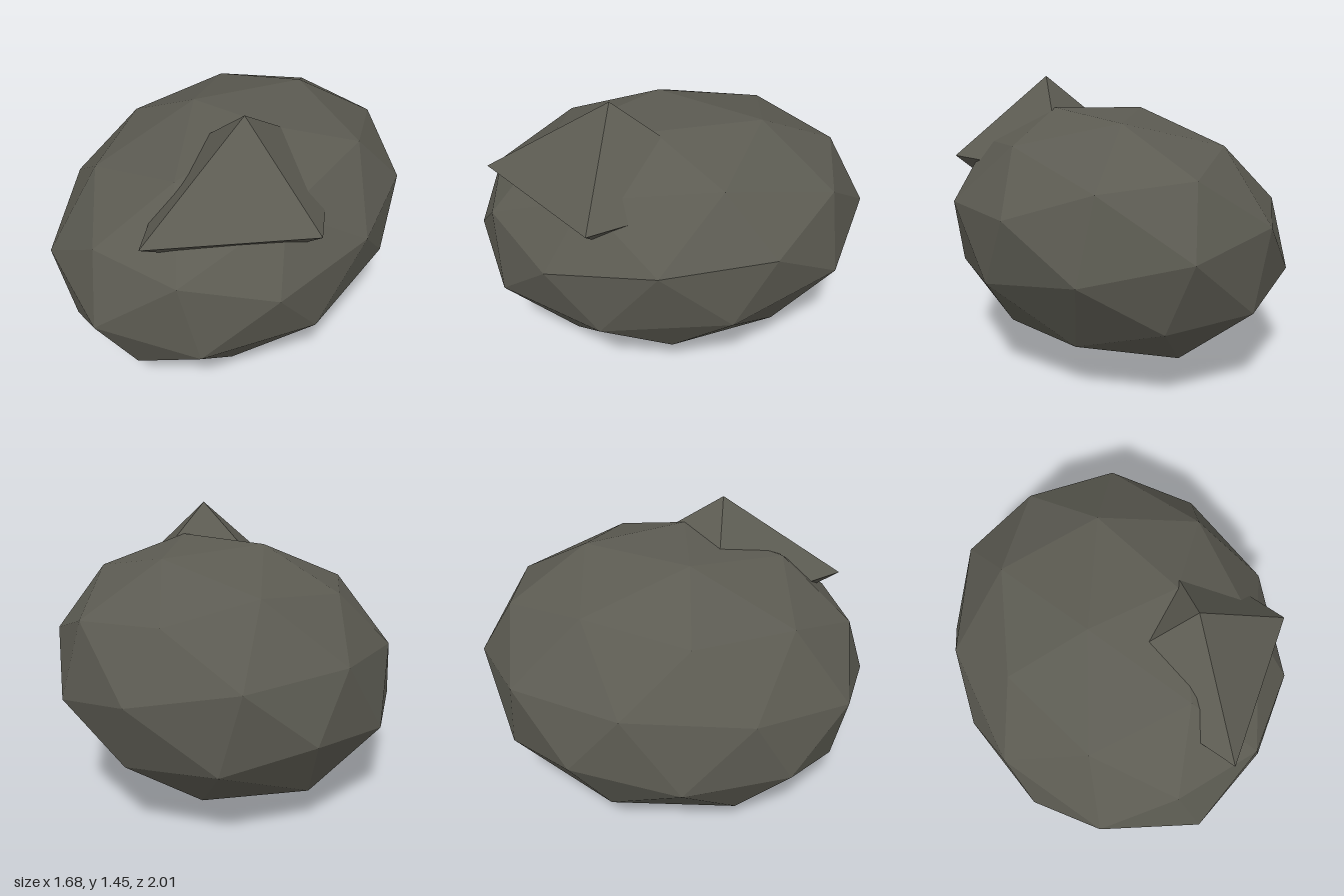
import * as THREE from 'three';

export function createModel() {
  const model = new THREE.Group();
  model.name = 'rock';

  const stone = new THREE.MeshStandardMaterial({ color: 0x5c5b52, flatShading: true });
  stone.name = 'stone';

  // Boulder: a low-poly sphere sheared so three neighbouring corners land on the given points
  const t = (1 + Math.sqrt(5)) / 2;
  const unit = (x, y, z) => new THREE.Vector3(x, y, z).normalize();
  const from = new THREE.Matrix4().makeBasis(unit(-1, t, 0), unit(-t, 0, 1), unit(0, 1, t));
  const to = new THREE.Matrix4().makeBasis(
    new THREE.Vector3(0.795, 0.13, 0.435),
    new THREE.Vector3(0.57, -0.43, -0.126),
    new THREE.Vector3(0.635, 0.23, -0.62)
  );
  const boulderGeometry = new THREE.IcosahedronGeometry(1, 1);
  boulderGeometry.applyMatrix4(to.multiply(from.invert()));
  boulderGeometry.computeVertexNormals();
  const boulder = new THREE.Mesh(boulderGeometry, stone);
  boulder.name = 'boulder';
  boulder.position.y = 0.653;
  model.add(boulder);

  // Pointed outcrop half sunk into the upper front left of the boulder
  const outcropGeometry = new THREE.OctahedronGeometry(1, 0).scale(0.49, 0.41, 0.635);
  outcropGeometry.computeVertexNormals();
  const outcrop = new THREE.Mesh(outcropGeometry, stone);
  outcrop.name = 'outcrop';
  outcrop.position.set(0.335, 1.04, 0.213);
  model.add(outcrop);

  return model;
}
